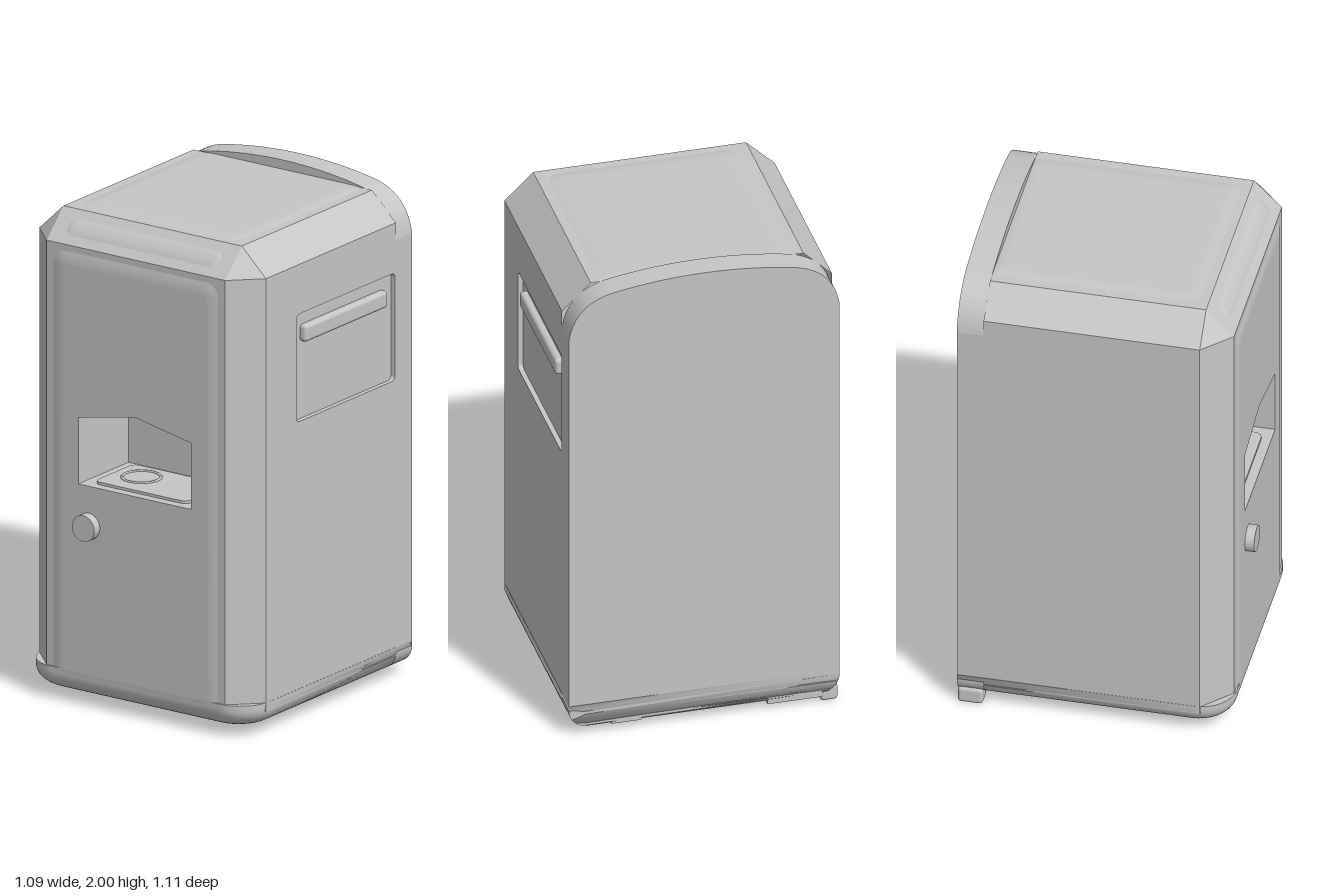
import * as THREE from 'three';
import { RoundedBoxGeometry } from 'three/addons/geometries/RoundedBoxGeometry.js';

const shell = new THREE.MeshStandardMaterial({ color: 0xc6c6c6, side: THREE.DoubleSide });
shell.name = 'light grey shell';

const W = 0.537, C = 0.423;          // half width, half width inside the chamfers
const F = 0.51, FC = 0.4;            // front plane, start of front chamfer
const BACK = -0.555, JOIN = -0.45;   // back plane, front of the back plate
const TOP = 1.96, EAVE = 1.85, PAD = 0.008;

const shapeOf = pts => new THREE.Shape(pts.map(p => new THREE.Vector2(p[0], p[1])));

// Rounded rectangle outline as [x, y] points
function roundRect(cx, cy, w, h, r, n = 6) {
  const pts = [];
  [[1, 1], [-1, 1], [-1, -1], [1, -1]].forEach(([sx, sy], k) => {
    for (let i = 0; i <= n; i++) {
      const a = (k + i / n) * Math.PI / 2;
      pts.push([cx + sx * (w / 2 - r) + r * Math.cos(a), cy + sy * (h / 2 - r) + r * Math.sin(a)]);
    }
  });
  return pts;
}

// Skin between closed loops of 3D points
function loft(loops, flat = false) {
  const n = loops[0].length, index = [];
  for (let k = 0; k < loops.length - 1; k++) {
    for (let i = 0; i < n; i++) {
      const j = (i + 1) % n, a = k * n + i, b = k * n + j;
      index.push(a, b, b + n, a, b + n, a + n);
    }
  }
  let g = new THREE.BufferGeometry();
  g.setAttribute('position', new THREE.Float32BufferAttribute(loops.flat(2), 3));
  g.setIndex(index);
  if (flat) g = g.toNonIndexed();
  g.computeVertexNormals();
  return g;
}

// Flat convex face, corners counter-clockwise from outside
function face(pts) {
  const p = [];
  for (let i = 1; i < pts.length - 1; i++) p.push(...pts[0], ...pts[i], ...pts[i + 1]);
  const g = new THREE.BufferGeometry();
  g.setAttribute('position', new THREE.Float32BufferAttribute(p, 3));
  g.computeVertexNormals();
  return g;
}

function add(parent, name, geometry, x = 0, y = 0, z = 0) {
  const m = new THREE.Mesh(geometry, shell);
  m.name = name;
  m.position.set(x, y, z);
  parent.add(m);
  return m;
}

function holed(outline, hole) {
  const s = shapeOf(outline);
  if (hole) s.holes.push(new THREE.Path(hole.map(p => new THREE.Vector2(p[0], p[1]))));
  return new THREE.ShapeGeometry(s);
}

// Softly raised pad facing +z
function pad(name, cy, w, h, rim, height, hole) {
  const g = new THREE.Group();
  g.name = name;
  const ring = t => roundRect(0, cy, w - 2 * rim * t, h - 2 * rim * t, rim * (1.1 - 0.8 * t));
  const loops = [0, 0.25, 0.5, 0.75, 1].map(t =>
    ring(t).map(p => [...p, height * Math.sin(t * Math.PI / 2)]));
  add(g, name + 'Rim', loft(loops));
  add(g, name + 'Face', holed(ring(1), hole), 0, 0, height);
  return g;
}

export function createModel() {
  const model = new THREE.Group();
  model.name = 'kioskCabinet';
  const cab = new THREE.Group();
  cab.name = 'cabinet';
  cab.position.x = -0.005;
  model.add(cab);

  // Front wall and its raised panel, both cut for the dispensing bay
  const bay = [[-0.267, 0.897], [0.267, 0.897], [0.267, 1.165], [0, 1.217], [-0.267, 1.165]];
  add(cab, 'frontWall', holed([[-C, 0.1], [C, 0.1], [C, EAVE], [-C, EAVE]], bay), 0, 0, F);
  const frontPad = pad('frontPanel', 0.955, 0.78, 1.74, 0.05, PAD, bay);
  frontPad.position.z = F;
  cab.add(frontPad);

  // Dispensing bay with drip tray
  const bayBack = F - 0.32;
  add(cab, 'bayWalls', loft([F + PAD, bayBack].map(z => bay.map(p => [...p, z])), true));
  add(cab, 'bayBack', new THREE.ShapeGeometry(shapeOf(bay)), 0, 0, bayBack);
  const tray = new THREE.ExtrudeGeometry(shapeOf(roundRect(0, 0, 0.44, 0.26, 0.03)),
    { depth: 0.012, bevelEnabled: false });
  tray.rotateX(-Math.PI / 2);
  add(cab, 'tray', tray, 0, 0.896, 0.35);
  const rim = new THREE.TorusGeometry(0.075, 0.006, 6, 32);
  rim.rotateX(Math.PI / 2);
  add(cab, 'trayRing', rim, -0.1, 0.908, 0.335);

  // Round button
  const knob = new THREE.CylinderGeometry(0.053, 0.053, 0.045, 32);
  knob.rotateX(Math.PI / 2);
  add(cab, 'button', knob, -0.218, 0.735, 0.532);

  // Side walls; the left one has an opening for the hatch. Local x runs along -z
  const hatch = roundRect(0.122, 1.432, 0.646, 0.435, 0.02, 4);
  const wall = [[-FC, 0.1], [-JOIN, 0.1], [-JOIN, EAVE], [-FC, EAVE]];
  for (const s of [1, -1]) {
    const g = holed(wall, s > 0 ? hatch : null);
    g.rotateY(Math.PI / 2);
    if (s < 0) g.scale(-1, 1, 1), g.index.array.reverse(), g.computeVertexNormals();
    add(cab, s > 0 ? 'leftWall' : 'rightWall', g, s * W);
  }

  // Recessed hatch and its pull handle
  const depth = 0.02;
  add(cab, 'hatchFrame', loft([W, W - depth].map(x => hatch.map(p => [x, p[1], -p[0]]))));
  const hatchPlate = new THREE.ShapeGeometry(shapeOf(hatch));
  hatchPlate.rotateY(Math.PI / 2);
  add(cab, 'hatchPlate', hatchPlate, W - depth);
  add(cab, 'hatchHandle', new RoundedBoxGeometry(0.04, 0.07, 0.54, 4, 0.016), 0.527, 1.56, -0.12);

  // Chamfered corner posts, roof slopes and corner facets, mirrored
  for (const s of [1, -1]) {
    const side = s > 0 ? 'left' : 'right';
    const mirrored = (name, pts) => {
      const q = pts.map(([x, y, z]) => [s * x, y, z]);
      add(cab, side + name, face(s > 0 ? q : q.reverse()));
    };
    mirrored('CornerPost', [[C, 0.1, F], [W, 0.1, FC], [W, EAVE, FC], [C, EAVE, F]]);
    mirrored('RoofSlope', [[W, EAVE, FC], [W, EAVE, JOIN], [C, TOP, JOIN], [C, TOP, FC]]);
    mirrored('RoofCorner', [[C, EAVE, F], [W, EAVE, FC], [C, TOP, FC]]);
  }
  add(cab, 'frontSlope', face([[-C, EAVE, F], [C, EAVE, F], [C, TOP, FC], [-C, TOP, FC]]));
  add(cab, 'roof', face([[-C, TOP, FC], [C, TOP, FC], [C, TOP, JOIN], [-C, TOP, JOIN]]));

  // Raised panels on roof and front slope
  const roofPad = pad('roofPanel', 0, 0.765, 0.83, 0.05, 0.006);
  roofPad.rotation.x = -Math.PI / 2;
  roofPad.position.set(0, TOP, -0.05);
  cab.add(roofPad);
  const slopePad = pad('slopePanel', 0, 0.72, 0.075, 0.028, 0.005);
  slopePad.rotation.x = -Math.PI / 4;
  slopePad.position.set(0, (TOP + EAVE) / 2, (F + FC) / 2);
  cab.add(slopePad);

  // Rounded base: plan outline shrinks toward the bottom along a fillet
  const plan = inset => {
    const pts = [[W + 0.001 - inset, BACK]], r = 0.14 - inset * 0.6;
    const w = W + 0.001 - inset, f = 0.517 - inset;
    for (let i = 0; i <= 16; i++) {
      const a = (i % 17) / 16 * Math.PI, right = i < 8 ? 1 : -1;
      if (i === 8) {
        pts.push([w - r, f], [r - w, f]);
      } else {
        pts.push([right * (w - r) + r * Math.cos(a), f - r + r * Math.sin(a)]);
      }
    }
    pts.push([-w, BACK]);
    return pts;
  };
  const R = 0.075, base = [plan(0).map(p => [p[0], 0.135, p[1]])];
  for (let i = 0; i <= 8; i++) {
    const a = i / 8 * Math.PI / 2;
    base.push(plan(R * (1 - Math.cos(a))).map(p => [p[0], 0.04 + R * (1 - Math.sin(a)), p[1]]));
  }
  add(cab, 'base', loft(base));
  add(cab, 'baseLedge', face(base[0].slice().reverse()));
  add(cab, 'baseUnderside', face(base[base.length - 1]));

  // Back plate with an arched top
  const b = W + 0.001, arch = new THREE.Shape();
  arch.moveTo(-b + R, 0.04);
  arch.lineTo(b - R, 0.04);
  arch.absarc(b - R, 0.04 + R, R, -Math.PI / 2, 0, false);
  arch.lineTo(b, 1.78);
  arch.quadraticCurveTo(0.515, 1.93, 0.37, 1.965);
  arch.quadraticCurveTo(0.19, 2, 0, 2);
  arch.quadraticCurveTo(-0.19, 2, -0.37, 1.965);
  arch.quadraticCurveTo(-0.515, 1.93, -b, 1.78);
  arch.lineTo(-b, 0.04 + R);
  arch.absarc(-b + R, 0.04 + R, R, Math.PI, Math.PI * 1.5, false);
  add(cab, 'backPlate', new THREE.ExtrudeGeometry(arch,
    { depth: JOIN - BACK, bevelEnabled: false, curveSegments: 16 }), 0, 0, BACK);

  // Small foot and rail under the back edge
  add(cab, 'foot', new RoundedBoxGeometry(0.07, 0.07, 0.1, 3, 0.015), -0.498, 0.035, -0.505);
  add(cab, 'footRail', new THREE.BoxGeometry(0.215, 0.03, 0.1), -0.36, 0.038, -0.505);
  add(cab, 'smallRail', new THREE.BoxGeometry(0.12, 0.02, 0.1), 0.31, 0.043, -0.505);

  return model;
}
